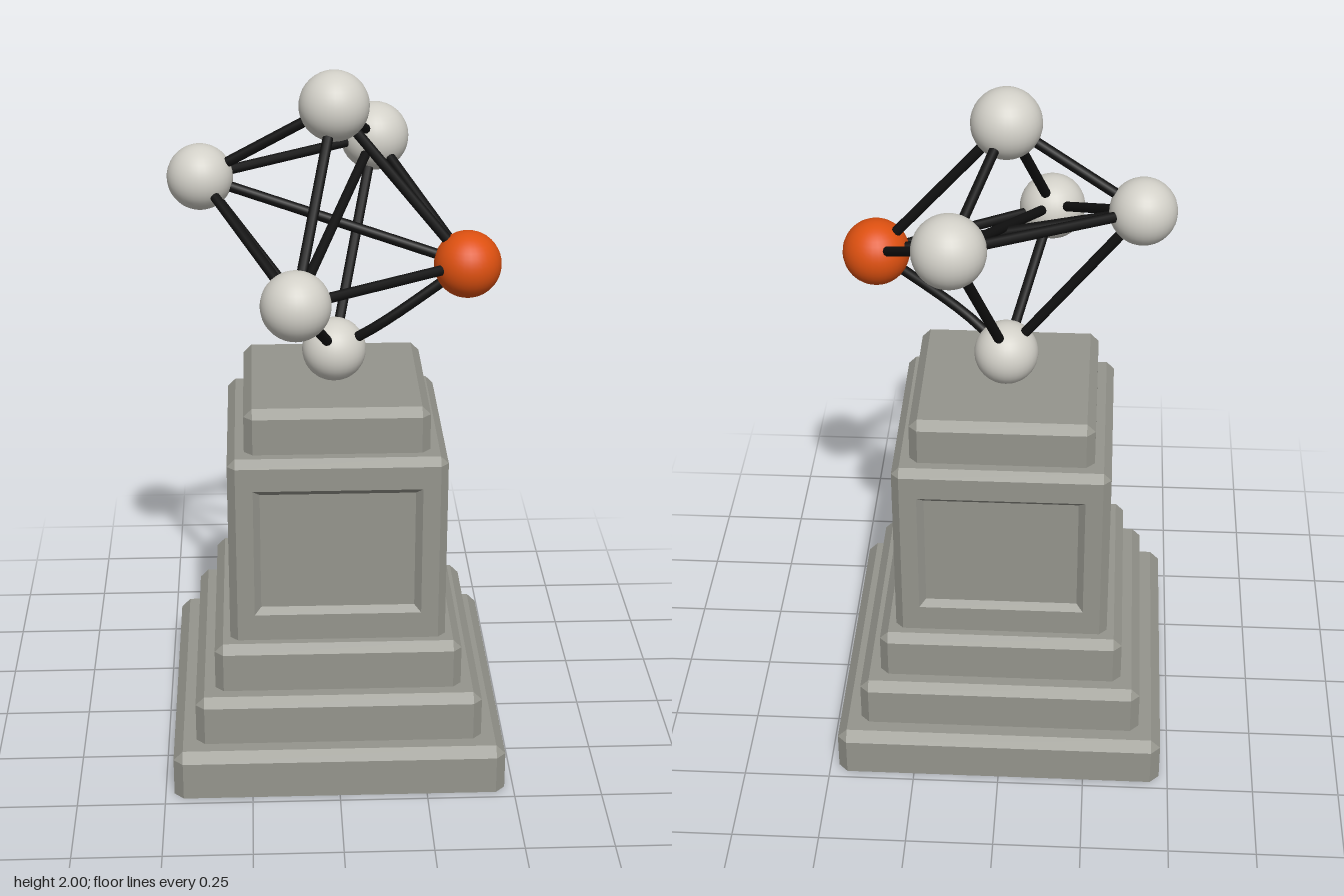
import * as THREE from 'three';

const mat = (name, color, extra = {}) => Object.assign(new THREE.MeshStandardMaterial({ color, ...extra }), { name });

// Flat-sided geometry from a list of quads (corners counter-clockwise from outside)
function quadGeometry(quads) {
  const pos = [];
  for (const [a, b, c, d] of quads) pos.push(...a, ...b, ...c, ...a, ...c, ...d);
  const geo = new THREE.BufferGeometry();
  geo.setAttribute('position', new THREE.Float32BufferAttribute(pos, 3));
  geo.computeVertexNormals();
  return geo;
}

// Square block with chamfered upright and top edges; the four flat sides may be left open
function blockGeometry(y0, y1, h, c, openSides = false) {
  const i = h - c;
  const ring = (y) => [[-i, y, h], [i, y, h], [h, y, i], [h, y, -i], [i, y, -h], [-i, y, -h], [-h, y, -i], [-h, y, i]];
  const bottom = ring(y0), mid = ring(y1 - c);
  const top = mid.map(([x, , z]) => [Math.sign(x) * i, y1, Math.sign(z) * i]);
  const quads = [];
  for (let k = 0; k < 8; k++) {
    const n = (k + 1) % 8;
    if (!openSides || k % 2) quads.push([bottom[k], bottom[n], mid[n], mid[k]]);
    quads.push([mid[k], mid[n], top[n], top[k]]);
  }
  quads.push([top[0], top[2], top[4], top[6]]);
  const b = bottom;
  quads.push([b[7], b[6], b[1], b[0]], [b[6], b[5], b[2], b[1]], [b[5], b[4], b[3], b[2]]);
  return quadGeometry(quads);
}

// Flat side with a sunken panel, from nested rectangles [halfWidth, bottom, top, z]
function panelGeometry(rects) {
  const loops = rects.map(([w, lo, hi, z]) => [[-w, lo, z], [w, lo, z], [w, hi, z], [-w, hi, z]]);
  const quads = [loops[loops.length - 1]];
  for (let r = 0; r < loops.length - 1; r++) {
    for (let k = 0; k < 4; k++) {
      const n = (k + 1) % 4;
      quads.push([loops[r][k], loops[r][n], loops[r + 1][n], loops[r + 1][k]]);
    }
  }
  return quadGeometry(quads);
}

export function createModel() {
  const model = new THREE.Group();
  model.name = 'monument';
  const stone = mat('stone grey', 0x95958d, { flatShading: true });
  const white = mat('ball white', 0xd2d0c8);
  const orange = mat('ball orange', 0xdd5010);
  const black = mat('rod black', 0x111111);
  const add = (parent, name, geo, material) => {
    const mesh = new THREE.Mesh(geo, material);
    mesh.name = name;
    parent.add(mesh);
    return mesh;
  };

  // Stepped pedestal
  const pedestal = new THREE.Group();
  pedestal.name = 'pedestal';
  model.add(pedestal);
  const tiers = [
    ['plinth', 0, 0.14, 0.475, 0.027],
    ['lowerStep', 0.14, 0.28, 0.41, 0.025],
    ['upperStep', 0.28, 0.42, 0.353, 0.024],
    ['shaft', 0.42, 0.98, 0.308, 0.022],
    ['cap', 0.98, 1.11, 0.26, 0.024],
  ];
  for (const [name, y0, y1, h, c] of tiers) {
    add(pedestal, name, blockGeometry(y0, y1, h, c, name === 'shaft'), stone);
  }

  // Sunken panel on each side of the shaft
  const panel = panelGeometry([
    [0.286, 0.42, 0.958, 0.308],
    [0.237, 0.5, 0.89, 0.308],
    [0.218, 0.518, 0.872, 0.29],
  ]);
  for (let k = 0; k < 4; k++) add(pedestal, 'shaftPanel', panel, stone).rotation.y = k * Math.PI / 2;

  // Balls of the skewed octahedral lattice
  const lattice = new THREE.Group();
  lattice.name = 'lattice';
  model.add(lattice);
  const balls = {
    top: [0, 1.903, 0.008, 0.097],
    bottom: [0, 1.19, 0, 0.091],
    right: [-0.37, 1.686, -0.06, 0.092],
    left: [0.368, 1.466, 0.07, 0.094],
    back: [0.13, 1.713, -0.35, 0.099],
    front: [-0.115, 1.462, 0.368, 0.095],
  };
  const at = (key) => new THREE.Vector3(...balls[key].slice(0, 3));
  for (const [key, [x, y, z, r]] of Object.entries(balls)) {
    add(lattice, key + 'Ball', new THREE.SphereGeometry(r, 32, 20), key === 'left' ? orange : white).position.set(x, y, z);
  }

  // Rods join every pair except top to bottom; the one under the orange ball is bent
  const keys = Object.keys(balls);
  keys.forEach((a, i) => keys.slice(i + 1).forEach((b) => {
    if (a === 'top' && b === 'bottom') return;
    const points = [at(a), at(b)];
    if (a === 'bottom' && b === 'left') points.splice(1, 0, new THREE.Vector3(0.12, 1.28, 0.055));
    const path = new THREE.CatmullRomCurve3(points);
    add(lattice, a + 'To' + b[0].toUpperCase() + b.slice(1) + 'Rod', new THREE.TubeGeometry(path, 10, 0.0145, 10), black);
  }));

  return model;
}
